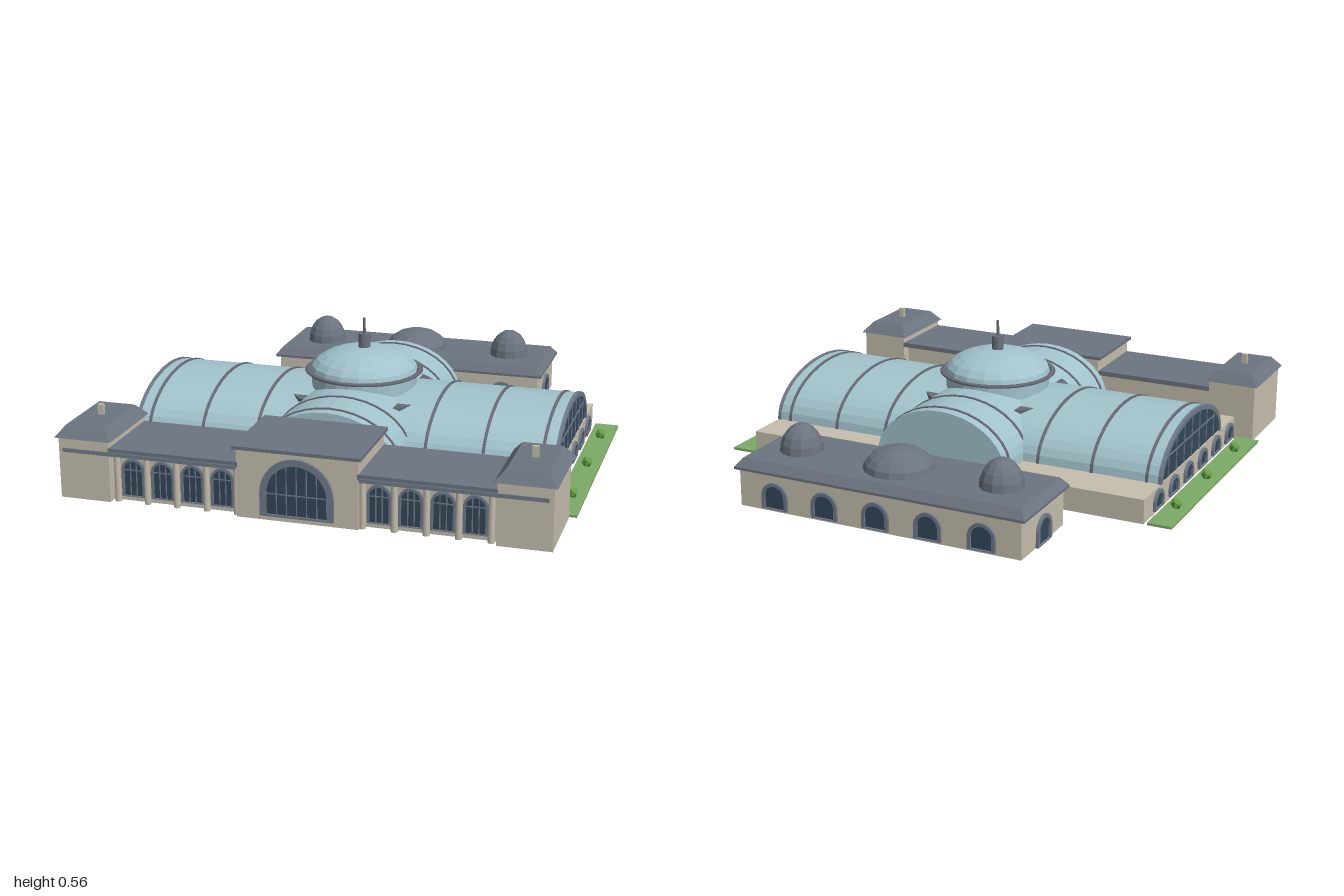
import * as THREE from 'three';

const mat = (name, color) => Object.assign(new THREE.MeshStandardMaterial({ color }), { name });

export function createModel() {
  const model = new THREE.Group();
  const stone = mat('stone', 0xc6bfae), slate = mat('slate', 0x6c7480), roofGlass = mat('roofGlass', 0xa2c3cc);
  const darkGlass = mat('darkGlass', 0x33475a), trim = mat('trim', 0x6f7a8a), rib = mat('rib', 0x686a76);
  const lawnGreen = mat('lawn', 0x7daa66), leaf = mat('leaf', 0x64a046);
  const CZ = 0.08; // centre of the crossing

  const flat = (g) => {
    const f = g.index ? g.toNonIndexed() : g;
    f.computeVertexNormals();
    return f;
  };
  const add = (name, geo, material, x = 0, y = 0, z = 0, parent = model) => {
    const m = new THREE.Mesh(geo, material);
    m.name = name;
    m.position.set(x, y, z);
    parent.add(m);
    return m;
  };
  // Box given by its minimum and maximum corners
  const box = (name, material, x0, x1, y0, y1, z0, z1, parent = model) =>
    add(name, new THREE.BoxGeometry(x1 - x0, y1 - y0, z1 - z0), material,
      (x0 + x1) / 2, (y0 + y1) / 2, (z0 + z1) / 2, parent);
  // Hipped roof: a box whose top is drawn inwards
  const hip = (name, x, z, w, d, y0, y1, inset) => {
    const g = new THREE.BoxGeometry(w, y1 - y0, d), p = g.attributes.position;
    for (let i = 0; i < p.count; i++) {
      if (p.getY(i) < 0) continue;
      p.setX(i, p.getX(i) - Math.sign(p.getX(i)) * inset);
      p.setZ(i, p.getZ(i) - Math.sign(p.getZ(i)) * inset);
    }
    add(name, flat(g), slate, x, (y0 + y1) / 2, z);
  };
  // Half-elliptical barrel running along x
  const barrel = (length, width, height) =>
    flat(new THREE.CylinderGeometry(1, 1, 1, 18, 1, false, 0, Math.PI)
      .rotateZ(Math.PI / 2).scale(length, height, width));
  const extrude = (shape, depth) =>
    new THREE.ExtrudeGeometry(shape, { depth, bevelEnabled: false, curveSegments: 10 });
  const archPath = (path, r, y0, spring) => {
    path.moveTo(-r, y0);
    path.lineTo(r, y0);
    path.lineTo(r, spring);
    path.absarc(0, spring, r, 0, Math.PI, false);
    path.lineTo(-r, y0);
    return path;
  };
  // Arched window facing local +z
  const archWindow = (name, x, y, z, turn, w, h, t, bars = 1, cross = true) => {
    const g = new THREE.Group(), r = w / 2, ri = r - t;
    g.name = name;
    g.position.set(x, y, z);
    g.rotation.y = turn;
    const frame = archPath(new THREE.Shape(), r, 0, h - r);
    frame.holes.push(archPath(new THREE.Path(), ri, t * 0.3, h - r));
    add('frame', extrude(frame, 0.012), trim, 0, 0, 0, g);
    add('pane', extrude(archPath(new THREE.Shape(), ri, t * 0.3, h - r), 0.004), darkGlass, 0, 0, 0, g);
    for (let i = 1; i <= bars; i++) {
      const bx = -ri + (2 * ri * i) / (bars + 1);
      box('mullion', trim, bx - 0.002, bx + 0.002, 0, h - r + Math.sqrt(ri * ri - bx * bx), 0.003, 0.007, g);
    }
    if (cross) box('transom', trim, -ri, ri, h - r - 0.002, h - r + 0.002, 0.003, 0.007, g);
    model.add(g);
  };

  // Podium under the glass halls
  box('podium', stone, -0.885, 0.885, 0, 0.1, -0.46, 0.63);

  // Crossed glass vaults with ribs
  add('longVault', barrel(1.75, 0.36, 0.19), roofGlass, 0, 0.1, CZ);
  for (const s of [-1, 1]) for (const x of [0.355, 0.59, 0.825])
    add('longVaultRib', barrel(0.012, 0.364, 0.195), rib, s * x, 0.1, CZ);
  add('crossVault', barrel(1.06, 0.29, 0.22).rotateY(Math.PI / 2), roofGlass, 0, 0.1, CZ);
  for (const dz of [-0.48, -0.32, 0.32, 0.48])
    add('crossVaultRib', barrel(0.012, 0.294, 0.224).rotateY(Math.PI / 2), rib, 0, 0.1, CZ + dz);

  // Glazed ends of the long vault
  for (const s of [-1, 1]) {
    const g = new THREE.Group();
    g.name = 'vaultEndGlazing';
    g.position.set(s * 0.873, 0.1, CZ);
    g.rotation.y = s * Math.PI / 2;
    const half = (path, a, b) => path.absellipse(0, 0, a, b, 0, Math.PI, false, 0);
    const frame = half(new THREE.Shape(), 0.364, 0.195);
    frame.lineTo(-0.34, 0);
    frame.absellipse(0, 0, 0.34, 0.175, Math.PI, 0, true, 0);
    add('archFrame', extrude(frame, 0.014), trim, 0, 0, 0, g);
    add('pane', extrude(half(new THREE.Shape(), 0.345, 0.18), 0.007), darkGlass, 0, 0, 0, g);
    for (let i = -3; i <= 3; i++) {
      const x = i * 0.09;
      box('mullion', trim, x - 0.002, x + 0.002, 0, 0.176 * Math.sqrt(1 - (x / 0.343) ** 2), 0.006, 0.011, g);
    }
    box('transom', trim, -0.29, 0.29, 0.088, 0.092, 0.006, 0.011, g);
    model.add(g);
  }

  // Central dome, drum, ring and lantern
  add('drumBase', new THREE.CylinderGeometry(0.31, 0.31, 0.02, 32), rib, 0, 0.255, CZ);
  add('drum', flat(new THREE.CylinderGeometry(0.22, 0.22, 0.1, 24)), roofGlass, 0, 0.295, CZ);
  add('domeRing', new THREE.TorusGeometry(0.234, 0.013, 6, 32).rotateX(Math.PI / 2).scale(1, 0.5, 1), rib, 0, 0.345, CZ);
  add('dome', flat(new THREE.SphereGeometry(1, 18, 6, 0, Math.PI * 2, 0, Math.PI / 2).scale(0.226, 0.102, 0.226)),
    roofGlass, 0, 0.34, CZ);
  add('lantern', new THREE.CylinderGeometry(0.025, 0.025, 0.065, 10), slate, 0, 0.467, CZ);
  add('spire', new THREE.CylinderGeometry(0.005, 0.007, 0.07, 6), rib, 0, 0.53, CZ);

  // Central entrance pavilion
  box('pavilion', stone, -0.24, 0.24, 0, 0.275, 0.62, 0.97);
  box('pavilionRoof', slate, -0.253, 0.253, 0.275, 0.288, 0.61, 0.985);
  archWindow('entranceArch', 0, 0.02, 0.97, 0, 0.29, 0.235, 0.026, 5, true);

  for (const s of [-1, 1]) {
    // Front wing with windows and pilasters
    const wing = new THREE.Group();
    wing.name = 'frontWing';
    model.add(wing);
    add('wall', new THREE.BoxGeometry(0.53, 0.2, 0.26), stone, s * 0.5, 0.1, 0.8, wing);
    add('roof', new THREE.BoxGeometry(0.53, 0.02, 0.345), slate, s * 0.5, 0.21, 0.798, wing);
    for (let i = 0; i < 5; i++) {
      const x = s * (0.249 + i * 0.1225);
      add('pilaster', new THREE.CylinderGeometry(0.012, 0.014, 0.19, 8), stone, x, 0.095, 0.945, wing);
      if (i < 4) archWindow('wingWindow', x + s * 0.061, 0.02, 0.93, 0, 0.095, 0.155, 0.01, 2, true);
    }
    add('corniceBand', new THREE.BoxGeometry(0.71, 0.015, 0.02), trim, s * 0.598, 0.198, 0.966, wing);

    // Corner tower
    const tx = s * 0.867;
    add('cornerTower', new THREE.BoxGeometry(0.208, 0.25, 0.345), stone, tx, 0.125, 0.798);
    hip('towerRoof', tx, 0.798, 0.235, 0.37, 0.248, 0.295, 0.04);
    add('chimney', new THREE.BoxGeometry(0.024, 0.045, 0.016), stone, tx, 0.315, 0.798);

    // Side windows in the podium
    for (let i = 0; i < 6; i++)
      archWindow('podiumWindow', s * 0.884, 0.015, 0.55 - i * 0.172, s * Math.PI / 2, 0.1, 0.078, 0.015, 0, false);

    // Lawn and shrubs
    add('lawn', new THREE.BoxGeometry(0.1, 0.01, 1.085), lawnGreen, s * 0.95, 0.005, 0.08);
    for (const z of [-0.275, 0.082, 0.44]) {
      add('shrubStem', new THREE.CylinderGeometry(0.005, 0.005, 0.02, 5), rib, s * 0.95, 0.015, z);
      add('shrub', flat(new THREE.IcosahedronGeometry(0.024, 0)), leaf, s * 0.95, 0.03, z);
    }
  }

  // Rear hall
  const rz = -0.788;
  box('rearHall', stone, -0.61, 0.61, 0, 0.157, rz - 0.188, rz + 0.188);
  box('rearEaves', slate, -0.628, 0.628, 0.153, 0.163, rz - 0.202, rz + 0.202);
  hip('rearRoof', 0, rz, 1.256, 0.404, 0.163, 0.197, 0.027);
  const cap = (name, x, r, h, n) => add(name,
    flat(new THREE.SphereGeometry(1, n, 5, 0, Math.PI * 2, 0, Math.PI / 2).scale(r, h, r)), slate, x, 0.193, rz);
  cap('rearCentralDome', 0, 0.142, 0.09, 14);
  for (const s of [-1, 1]) {
    cap('rearSideDome', s * 0.44, 0.088, 0.117, 12);
    archWindow('rearEndArch', s * 0.609, 0, rz, s * Math.PI / 2, 0.125, 0.115, 0.016, 0, false);
  }
  for (let i = -2; i <= 2; i++) {
    archWindow('rearWindow', i * 0.225, 0.01, rz - 0.187, Math.PI, 0.115, 0.11, 0.014, 0, false);
    archWindow('rearWindow', i * 0.225, 0.01, rz + 0.187, 0, 0.115, 0.11, 0.014, 0, false);
  }
  return model;
}
